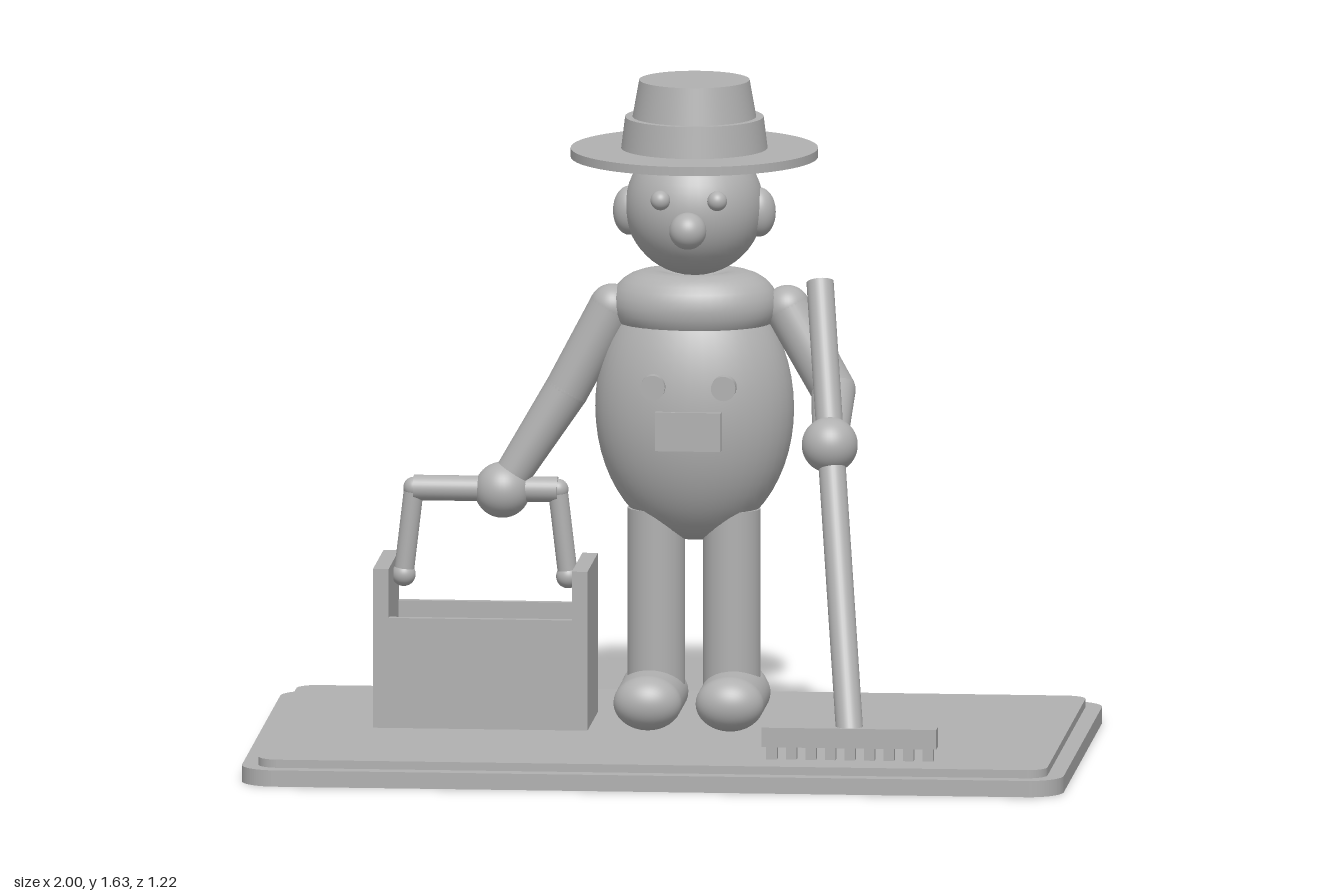
import * as THREE from 'three';

const CX = 0.045, CZ = -0.11; // figure's axis on the base

export function createModel() {
  const root = new THREE.Group();
  const grey = new THREE.MeshStandardMaterial({ color: 0xb0b0b0 });
  grey.name = 'plain grey';

  const add = (parent, name, geometry, x = 0, y = 0, z = 0) => {
    const mesh = new THREE.Mesh(geometry, grey);
    mesh.name = name;
    mesh.position.set(x, y, z);
    parent.add(mesh);
    return mesh;
  };
  const group = (name, x = 0, y = 0, z = 0) => {
    const g = new THREE.Group();
    g.name = name;
    g.position.set(x, y, z);
    root.add(g);
    return g;
  };
  const ball = (parent, name, p, rx, ry = rx, rz = rx) =>
    add(parent, name, new THREE.SphereGeometry(1, 40, 28), ...p).scale.set(rx, ry, rz);
  // Box given by its minimum and maximum corners
  const box = (parent, name, a, b) =>
    add(parent, name, new THREE.BoxGeometry(b[0] - a[0], b[1] - a[1], b[2] - a[2]),
      (a[0] + b[0]) / 2, (a[1] + b[1]) / 2, (a[2] + b[2]) / 2);
  // Straight round rod between two points
  const rod = (parent, name, a, b, ra, rb = ra) => {
    const from = new THREE.Vector3(...a), to = new THREE.Vector3(...b);
    const dir = to.clone().sub(from);
    const mesh = add(parent, name, new THREE.CylinderGeometry(rb, ra, dir.length(), 32));
    mesh.position.copy(from).addScaledVector(dir, 0.5);
    mesh.quaternion.setFromUnitVectors(new THREE.Vector3(0, 1, 0), dir.normalize());
  };

  // Two-step base with rounded corners
  const slab = (name, w, d, r, y, h) => {
    const s = new THREE.Shape();
    s.absarc(w - r, d - r, r, 0, Math.PI / 2);
    s.absarc(r - w, d - r, r, Math.PI / 2, Math.PI);
    s.absarc(r - w, r - d, r, Math.PI, Math.PI * 1.5);
    s.absarc(w - r, r - d, r, Math.PI * 1.5, Math.PI * 2);
    s.closePath();
    const g = new THREE.ExtrudeGeometry(s, { depth: h, bevelEnabled: false, curveSegments: 10 });
    add(root, name, g.rotateX(-Math.PI / 2), 0, y, 0);
  };
  slab('baseLower', 1, 0.61, 0.085, 0, 0.04);
  slab('baseUpper', 0.96, 0.57, 0.05, 0.04, 0.02);

  // Torso, collar, buttons and pocket
  const torso = group('torso', CX, 0, CZ);
  ball(torso, 'body', [0, 0.83, -0.005], 0.242, 0.325, 0.182);
  const collar = add(torso, 'collar', new THREE.TorusGeometry(0.08, 0.073, 24, 48).rotateX(Math.PI / 2), 0, 1.085, -0.005);
  collar.scale.set(1.33, 1.12, 1);
  for (const s of [-1, 1]) {
    add(torso, 'button', new THREE.CylinderGeometry(0.03, 0.03, 0.06, 28).rotateX(Math.PI / 2), s * 0.086, 0.905, 0.153);
  }
  box(torso, 'pocket', [-0.08, 0.75, 0.12], [0.08, 0.845, 0.183]);

  // Head
  const head = group('head', CX, 1.325, CZ);
  ball(head, 'skull', [0, 0, 0.003], 0.168);
  ball(head, 'nose', [0, -0.033, 0.185], 0.045);
  for (const s of [-1, 1]) {
    ball(head, 'eye', [s * 0.069, 0.037, 0.158], 0.024);
    ball(head, 'ear', [s * 0.158, -0.013, 0.003], 0.04, 0.06, 0.045);
  }

  // Hat: brim, band and crown
  const hat = group('hat', CX, 0, CZ + 0.003);
  add(hat, 'brim', new THREE.CylinderGeometry(0.3, 0.3, 0.022, 64), 0, 1.457, 0);
  add(hat, 'band', new THREE.CylinderGeometry(0.168, 0.178, 0.08, 56), 0, 1.505, 0);
  add(hat, 'crown', new THREE.CylinderGeometry(0.134, 0.15, 0.09, 56), 0, 1.59, 0);

  // Legs and shoes
  for (const s of [-1, 1]) {
    const x = CX + s * 0.092;
    rod(root, 'leg', [x, 0.13, -0.1], [x, 0.585, -0.1], 0.07);
    const shoe = add(root, 'shoe', new THREE.CapsuleGeometry(0.067, 0.182, 14, 36).rotateX(Math.PI / 2),
      CX + s * 0.1, 0.128, -0.042);
    shoe.scale.x = 1.24;
    ball(root, 'heel', [CX + s * 0.1, 0.133, -0.125], 0.08, 0.073, 0.075);
  }

  // Arms: shoulder, elbow, hand
  const arm = (name, shoulder, elbow, hand) => {
    const g = group(name);
    ball(g, 'shoulder', shoulder, 0.056);
    rod(g, 'upperArm', shoulder, elbow, 0.056, 0.054);
    ball(g, 'elbow', elbow, 0.054);
    rod(g, 'forearm', elbow, hand, 0.054, 0.042);
    ball(g, 'hand', hand, 0.068);
  };
  arm('rightArm', [-0.155, 1.075, -0.105], [-0.265, 0.87, -0.1], [-0.42, 0.625, -0.083]);
  arm('leftArm', [0.27, 1.075, -0.12], [0.385, 0.88, -0.088], [0.395, 0.78, 0.125]);

  // Rake
  const rake = group('rake');
  rod(rake, 'rakeHandle', [0.355, 1.15, -0.06], [0.472, 0.12, 0.445], 0.033);
  box(rake, 'rakeHead', [0.26, 0.092, 0.42], [0.685, 0.14, 0.475]);
  for (let i = 0; i < 9; i++) {
    const x = 0.283 + i * 0.0475;
    box(rake, 'rakeTooth', [x - 0.013, 0.06, 0.435], [x + 0.013, 0.095, 0.46]);
  }

  // Open toolbox with tall ends and a carrying handle
  const tool = group('toolbox');
  box(tool, 'boxFloor', [-0.7, 0.06, -0.22], [-0.22, 0.085, 0.06]);
  box(tool, 'boxEndRight', [-0.722, 0.06, -0.225], [-0.684, 0.45, 0.065]);
  box(tool, 'boxEndLeft', [-0.238, 0.06, -0.225], [-0.2, 0.45, 0.065]);
  box(tool, 'boxFront', [-0.684, 0.06, 0.045], [-0.238, 0.33, 0.065]);
  box(tool, 'boxBack', [-0.684, 0.06, -0.225], [-0.238, 0.33, -0.205]);
  const hx = -0.46, hz = -0.08;
  rod(tool, 'gripBar', [hx - 0.175, 0.628, hz], [hx + 0.175, 0.628, hz], 0.031);
  for (const s of [-1, 1]) {
    const top = [hx + s * 0.175, 0.628, hz], low = [hx + s * 0.2, 0.415, hz];
    ball(tool, 'gripCorner', top, 0.026);
    rod(tool, 'gripPost', top, low, 0.024);
    ball(tool, 'gripFoot', low, 0.029);
  }
  return root;
}
